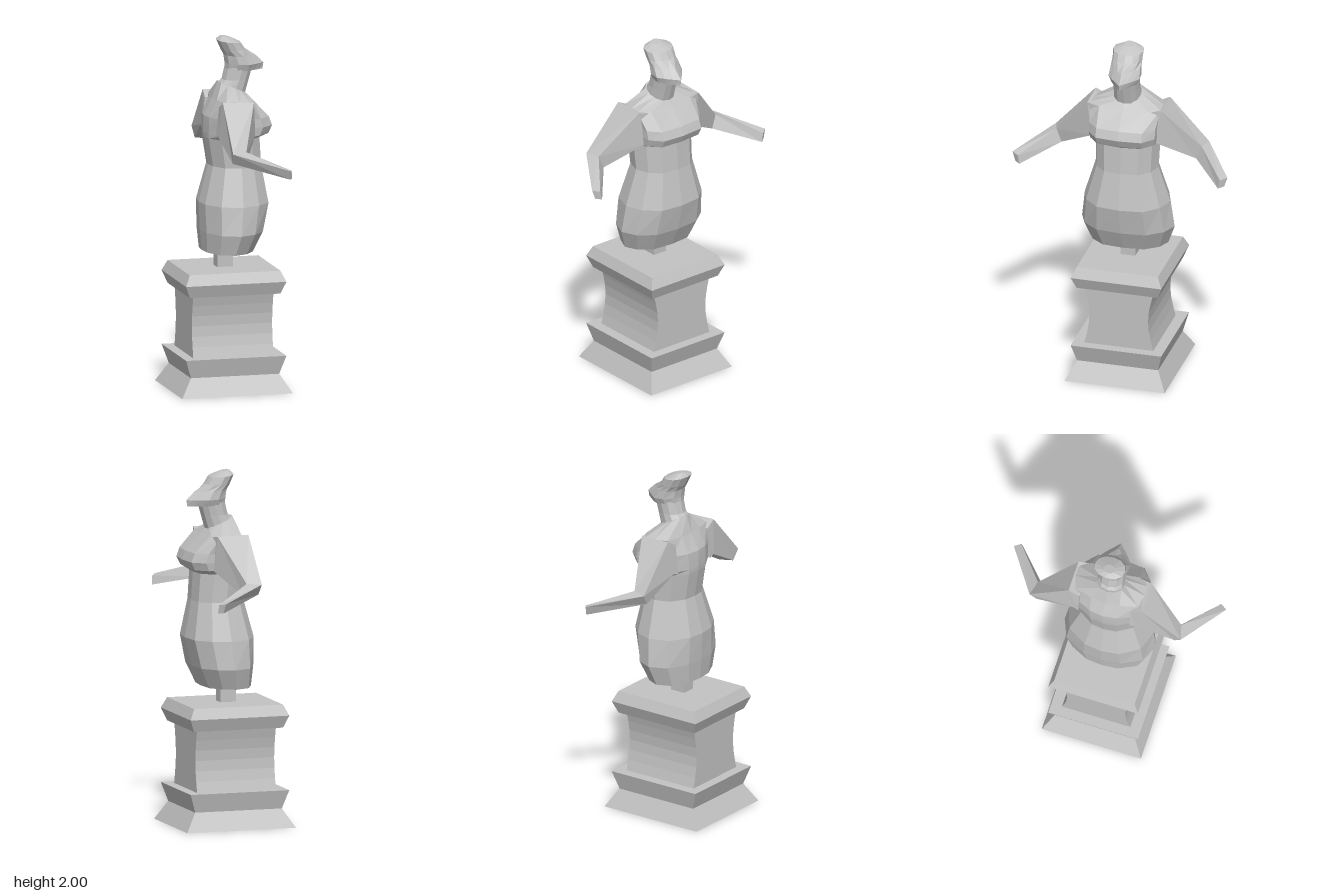
import * as THREE from 'three';

const stone = new THREE.MeshStandardMaterial({ color: 0xc2c2c2, flatShading: true, side: THREE.DoubleSide });
stone.name = 'grey stone';

// Skin a list of equal-length rings; optionally close the first and last one.
function loft(name, rings, capStart, capEnd) {
  const pos = [];
  const tri = (a, b, c) => pos.push(...a, ...b, ...c);
  const n = rings[0].length;
  for (let r = 0; r < rings.length - 1; r++) {
    const a = rings[r], b = rings[r + 1];
    for (let i = 0; i < n; i++) {
      const j = (i + 1) % n;
      tri(a[i], a[j], b[j]);
      tri(a[i], b[j], b[i]);
    }
  }
  const cap = (ring, flip) => {
    const c = [0, 1, 2].map(k => ring.reduce((s, p) => s + p[k], 0) / n);
    ring.forEach((p, i) => {
      const q = ring[(i + 1) % n];
      flip ? tri(c, q, p) : tri(c, p, q);
    });
  };
  if (capStart) cap(rings[0], true);
  if (capEnd) cap(rings[rings.length - 1], false);
  const g = new THREE.BufferGeometry();
  g.setAttribute('position', new THREE.Float32BufferAttribute(pos, 3));
  g.computeVertexNormals();
  const mesh = new THREE.Mesh(g, stone);
  mesh.name = name;
  return mesh;
}

// Rectangular ring: height, half width in x, half depth in z
const rect = ([y, x, z]) => [[-x, y, -z], [-x, y, z], [x, y, z], [x, y, -z]];

// Half outlines, back to front: [fraction of depth along x, fraction of half width]
const bodyShape = [[0, 0], [0.03, 0.4], [0.2, 0.84], [0.5, 1], [0.76, 0.86], [0.96, 0.53], [1, 0]];
const bustShape = [[0, 0], [0.03, 0.4], [0.15, 0.88], [0.5, 1], [0.78, 0.98], [0.96, 0.68], [0.99, 0]];
const headShape = [[0, 0], [0.05, 0.55], [0.27, 0.95], [0.53, 1], [0.7, 0.68], [0.86, 0.32], [1, 0]];
const roundShape = [[0, 0], [0.07, 0.55], [0.27, 0.92], [0.53, 1], [0.78, 0.85], [0.95, 0.5], [1, 0]];

// Horizontal ring from a half outline: height, back x, front x, half width, forward tilt
function ring(shape, y, back, front, w, tilt = 0) {
  const half = shape.map(([t, s]) => [back + t * (front - back), y + tilt * (t - 0.5), s * w]);
  const other = half.slice(1, -1).reverse().map(([x, h, z]) => [x, h, -z]);
  return [...half, ...other];
}

function makePedestal() {
  const g = new THREE.Group();
  g.name = 'pedestal';
  // Hollow stepped foot with a ledge around the shaft
  g.add(loft('pedestalFoot', [
    [0, 0.32, 0.29], [0.105, 0.255, 0.235], [0.21, 0.29, 0.262], [0.21, 0.232, 0.2],
  ].map(rect)));
  // Shaft with concave sides
  const rows = [];
  for (let i = 0; i <= 6; i++) {
    const t = i / 6;
    rows.push(rect([0.21 + 0.35 * t, 0.232, 0.2 - 0.03 * Math.sin(Math.PI * t)]));
  }
  g.add(loft('pedestalShaft', rows));
  g.add(loft('pedestalCap', [
    [0.56, 0.262, 0.235], [0.63, 0.29, 0.262], [0.69, 0.262, 0.235],
  ].map(rect), true, true));
  // Small post carrying the figure
  const post = new THREE.Mesh(new THREE.BoxGeometry(0.09, 0.12, 0.085), stone);
  post.name = 'post';
  post.position.set(-0.005, 0.74, 0);
  g.add(post);
  return g;
}

function makeTorso() {
  return loft('torso', [
    ring(bodyShape, 0.785, -0.13, 0.145, 0.225),
    ring(bodyShape, 0.9, -0.14, 0.2, 0.268),
    ring(bodyShape, 1.06, -0.147, 0.237, 0.248),
    ring(bodyShape, 1.27, -0.092, 0.2, 0.182),
    ring(bodyShape, 1.43, -0.118, 0.19, 0.187),
    ring(bustShape, 1.455, -0.12, 0.235, 0.19),
    ring(bustShape, 1.5, -0.12, 0.257, 0.195),
    ring(bustShape, 1.55, -0.118, 0.238, 0.195),
    ring(bustShape, 1.645, -0.07, 0.142, 0.208),
    ring(roundShape, 1.71, -0.038, 0.11, 0.08, -0.06),
  ], true, true);
}

function makeHead() {
  const g = new THREE.Group();
  g.name = 'head';
  g.add(loft('neck', [
    ring(roundShape, 1.69, -0.04, 0.115, 0.08, -0.06),
    ring(roundShape, 1.75, -0.012, 0.14, 0.075),
    ring(roundShape, 1.82, 0.004, 0.16, 0.076),
  ], false, true));
  // Face pointing forward, crown swept back
  g.add(loft('face', [
    ring(headShape, 1.803, 0.003, 0.222, 0.076, -0.01),
    ring(headShape, 1.838, 0.004, 0.228, 0.09, -0.01),
    ring(headShape, 1.885, -0.002, 0.18, 0.085, -0.01),
    ring(roundShape, 1.92, -0.02, 0.118, 0.085),
    ring(roundShape, 1.967, -0.044, 0.092, 0.088, -0.015),
    ring(roundShape, 1.992, -0.02, 0.035, 0.03, -0.01),
  ], true, true));
  return g;
}

// Arm sections run shoulder, elbow, hand; corners: top back, low back, low front, top front
const armSections = [
  [[-0.07, 1.62, 0.15], [-0.09, 1.45, 0.15], [0.13, 1.45, 0.15], [0.13, 1.64, 0.15]],
  [[-0.065, 1.655, 0.215], [-0.085, 1.46, 0.185], [0.13, 1.455, 0.185], [0.115, 1.65, 0.215]],
  [[-0.067, 1.405, 0.443], [-0.06, 1.345, 0.405], [0.022, 1.335, 0.39], [0.015, 1.41, 0.42]],
  [[0.205, 1.332, 0.622], [0.212, 1.28, 0.605], [0.236, 1.275, 0.575], [0.232, 1.325, 0.585]],
];

function makeArm(name, side) {
  const sections = armSections.map(s => {
    const pts = s.map(([x, y, z]) => [x, y, z * side]);
    return side > 0 ? pts : pts.reverse();
  });
  return loft(name, sections, true, true);
}

export function createModel() {
  const model = new THREE.Group();
  model.name = 'statue';
  const figure = new THREE.Group();
  figure.name = 'figure';
  figure.add(makeTorso(), makeHead(), makeArm('nearArm', 1), makeArm('farArm', -1));
  model.add(makePedestal(), figure);
  return model;
}
